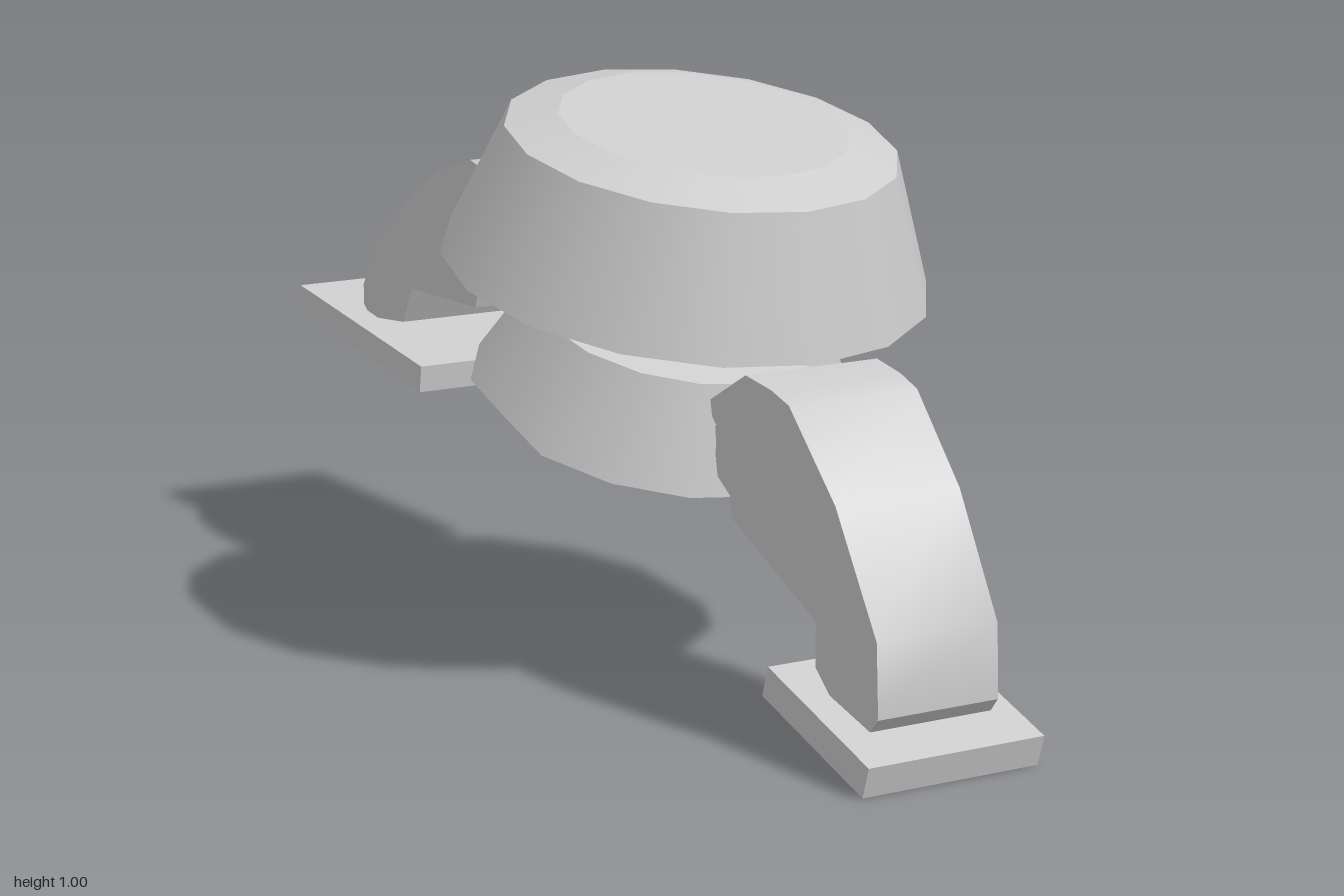
import * as THREE from 'three';
import { toCreasedNormals } from 'three/addons/utils/BufferGeometryUtils.js';

const grey = new THREE.MeshStandardMaterial({ color: 0xcccccc });
grey.name = 'plain grey';

function part(name, geometry, parent, x = 0, y = 0, z = 0, tilt = 0) {
  const mesh = new THREE.Mesh(geometry, grey);
  mesh.name = name;
  mesh.position.set(x, y, z);
  mesh.rotation.x = tilt;
  parent.add(mesh);
  return mesh;
}

// Side profile in (z, y), extruded across x and narrowed toward the foot
function legGeometry(profile, shoulderZ, footZ) {
  const shape = new THREE.Shape(profile.map(([z, y]) => new THREE.Vector2(z, y)));
  const g = new THREE.ExtrudeGeometry(shape, { depth: 2, bevelEnabled: false });
  g.translate(0, 0, -1).rotateY(-Math.PI / 2);
  const p = g.attributes.position;
  for (let i = 0; i < p.count; i++) {
    const t = (p.getZ(i) - shoulderZ) / (footZ - shoulderZ);
    p.setX(i, p.getX(i) * THREE.MathUtils.lerp(0.131, 0.115, t));
  }
  return toCreasedNormals(g, 0.6);
}

export function createModel() {
  const model = new THREE.Group();
  model.name = 'walker';

  // Upper body: wide tapered drum with a shallow bevelled lid
  const upper = new THREE.Group();
  upper.name = 'upperBody';
  upper.position.set(0, 0.695, 0.17);
  upper.rotation.x = 0.228;
  model.add(upper);
  part('upperShell', new THREE.CylinderGeometry(0.337, 0.422, 0.235, 16), upper, 0, 0.1175, 0);
  part('upperLid', new THREE.CylinderGeometry(0.248, 0.337, 0.027, 16), upper, 0, 0.2485, 0);

  // Lower body: smaller drum, its right bottom corner cut flat
  const lower = new THREE.CylinderGeometry(0.26, 0.341, 0.172, 16);
  const p = lower.attributes.position;
  for (let i = 0; i < p.count; i++) if (p.getX(i) < -0.33) p.setX(i, -0.317);
  part('lowerBody', lower, model, 0, 0.537, 0.131, 0.325);

  // Neck between the two drums
  part('neck', new THREE.CylinderGeometry(0.09, 0.095, 0.22, 16), model, 0, 0.655, 0.148, 0.25);

  // Front leg, hip joint and foot
  part('frontLeg', legGeometry([
    [0.94, 0.13], [0.935, 0.235], [0.82, 0.43], [0.69, 0.567], [0.64, 0.583], [0.567, 0.594],
    [0.465, 0.535], [0.47, 0.508], [0.49, 0.487], [0.48, 0.45], [0.487, 0.41], [0.524, 0.385],
    [0.53, 0.348], [0.77, 0.23], [0.77, 0.155], [0.81, 0.118], [0.92, 0.086], [0.94, 0.11],
  ], 0.465, 0.94), model);
  part('frontHip', new THREE.BoxGeometry(0.16, 0.08, 0.15), model, 0, 0.435, 0.44, -0.1);
  part('frontFoot', new THREE.BoxGeometry(0.335, 0.055, 0.305), model, -0.005, 0.077, 0.848, 0.3);

  // Back leg and foot
  part('backLeg', legGeometry([
    [-0.225, 0.70], [-0.294, 0.797], [-0.374, 0.813], [-0.508, 0.775], [-0.594, 0.727],
    [-0.765, 0.61], [-0.829, 0.508], [-0.829, 0.47], [-0.80, 0.45], [-0.658, 0.465],
    [-0.62, 0.535], [-0.358, 0.545], [-0.348, 0.572], [-0.30, 0.588], [-0.278, 0.636],
    [-0.278, 0.658], [-0.246, 0.674],
  ], -0.225, -0.829), model, 0.005);
  part('backFoot', new THREE.BoxGeometry(0.335, 0.05, 0.505), model, 0.003, 0.425, -0.745, 0.136);

  return model;
}
